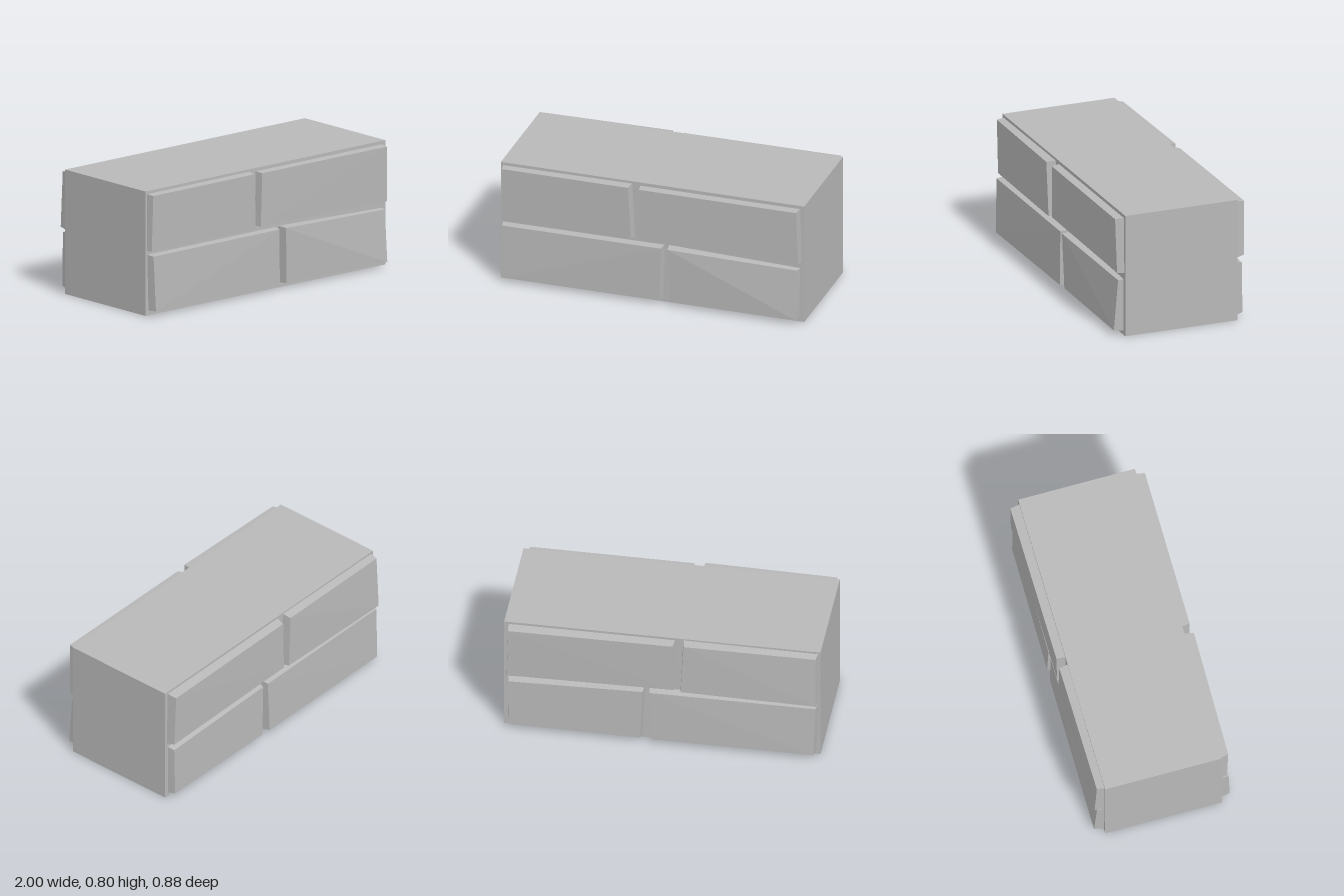
import * as THREE from 'three';
import { ConvexGeometry } from 'three/addons/geometries/ConvexGeometry.js';

const stoneGrey = new THREE.MeshStandardMaterial({ color: 0xb8b8b8 });

// Each pair runs along its edge: left/right are x at [top, bottom], top/bottom are y at [left, right].
// front/back are depths at [top left, top right, bottom right, bottom left].
const stones = [
  { name: 'UpperRowShortStone',
    left: [-0.976, -0.98], right: [-0.142, -0.125], top: [0.776, 0.78], bottom: [0.418, 0.424],
    front: [0.428, 0.44, 0.432, 0.418], back: [0.425, 0.432, 0.434, 0.44] },
  { name: 'UpperRowLongStone',
    left: [-0.072, -0.08], right: [0.965, 0.975], top: [0.774, 0.774], bottom: [0.432, 0.42],
    front: [0.432, 0.435, 0.426, 0.428], back: [0.432, 0.438, 0.432, 0.43] },
  { name: 'LowerRowLongStone',
    left: [-0.976, -0.965], right: [0.072, 0.063], top: [0.386, 0.389], bottom: [0.034, 0.031],
    front: [0.43, 0.434, 0.434, 0.44], back: [0.424, 0.428, 0.436, 0.44] },
  { name: 'LowerRowShortStone',
    left: [0.118, 0.132], right: [0.965, 0.962], top: [0.392, 0.366], bottom: [0.033, 0.034],
    front: [0.442, 0.415, 0.442, 0.432], back: [0.43, 0.422, 0.427, 0.434] },
];

// A faceted slab whose sides flare slightly towards the wall
function makeStone({ name, left, right, top, bottom, [name.length && 'front']: front, back }, side) {
  const depths = side > 0 ? front : back;
  const flareY = side > 0 ? 0.005 : 0.011;
  const points = depths.flatMap((depth, i) => {
    const isRight = i === 1 || i === 2;
    const isLow = i > 1;
    const x = (isRight ? right : left)[Number(isLow)];
    const y = (isLow ? bottom : top)[Number(isRight)];
    return [
      new THREE.Vector3(x, y, side * depth),
      new THREE.Vector3(x + (isRight ? 0.01 : -0.01), y + (isLow ? -flareY : flareY), side * 0.37),
    ];
  });
  const mesh = new THREE.Mesh(new ConvexGeometry(points), stoneGrey);
  mesh.name = (side > 0 ? 'front' : 'back') + name;
  return mesh;
}

export function createModel() {
  const group = new THREE.Group();
  group.name = 'stoneWallBlock';

  // Plain mortar core
  const core = new THREE.Mesh(new THREE.BoxGeometry(2, 0.8, 0.757), stoneGrey);
  core.name = 'wallCore';
  core.position.set(0, 0.4, 0.0015);
  group.add(core);

  // Irregular facing stones on both long sides
  for (const stone of stones) group.add(makeStone(stone, 1), makeStone(stone, -1));
  return group;
}
